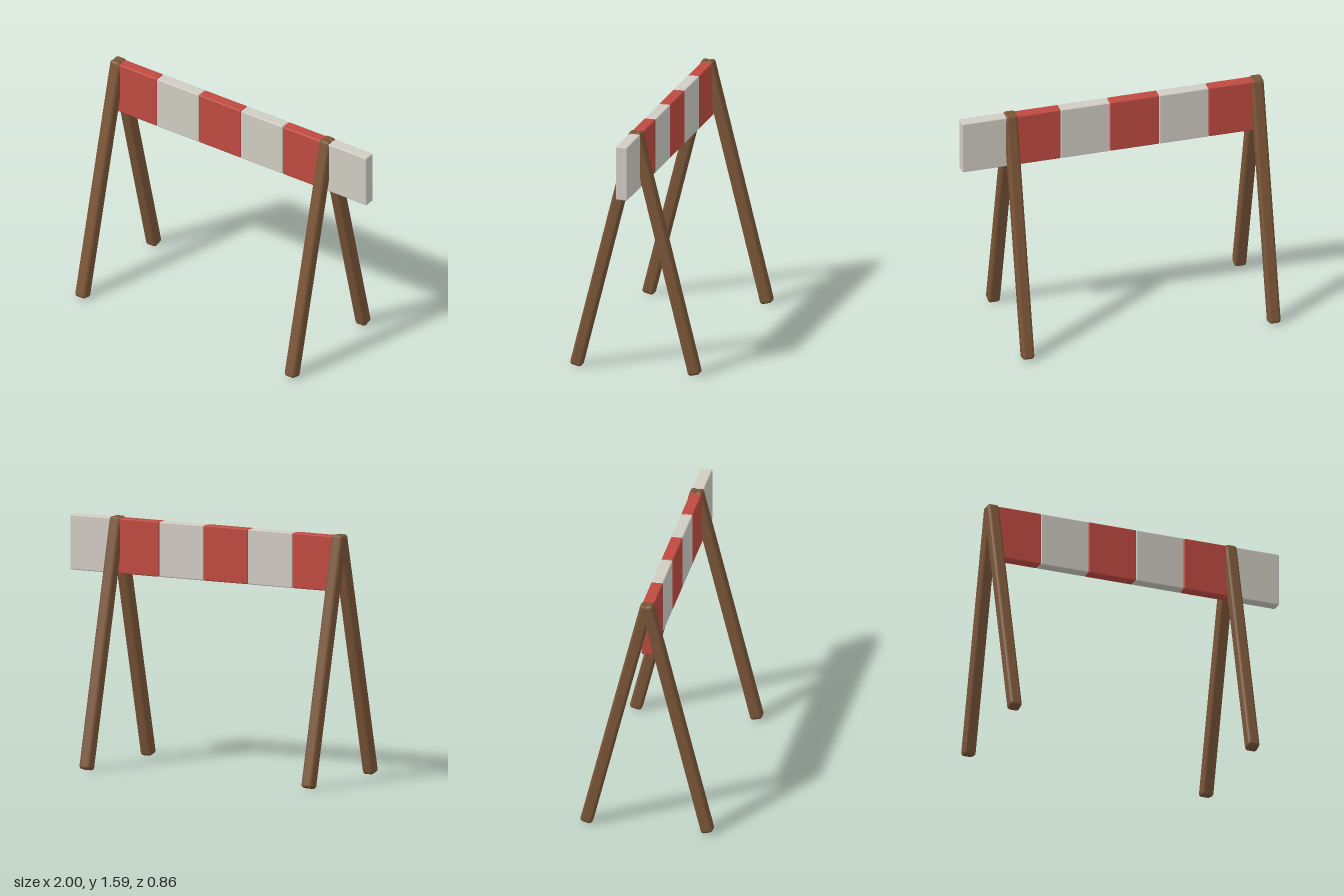
import * as THREE from 'three';
import { RoundedBoxGeometry } from 'three/addons/geometries/RoundedBoxGeometry.js';

const material = (name, color) => {
  const m = new THREE.MeshStandardMaterial({ color });
  m.name = name;
  return m;
};

export function createModel() {
  const wood = material('brown wood', 0x7a5537);
  const red = material('red paint', 0xbf4a40);
  const white = material('white paint', 0xd0ccc3);

  const model = new THREE.Group();
  model.name = 'barrier';

  const add = (name, geometry, mat, parent = model) => {
    const mesh = new THREE.Mesh(geometry, mat);
    mesh.name = name;
    parent.add(mesh);
    return mesh;
  };

  // Striped board: six equal blocks, red first, ending white
  const board = new THREE.Group();
  board.name = 'board';
  model.add(board);
  const start = -0.96, end = 1, count = 6;
  const width = (end - start) / count;
  const stripe = new RoundedBoxGeometry(width, 0.355, 0.076, 1, 0.008);
  for (let i = 0; i < count; i++) {
    const mesh = add(i % 2 ? 'whiteStripe' : 'redStripe', stripe, i % 2 ? white : red, board);
    mesh.position.set(start + (i + 0.5) * width, 1.403, 0);
  }

  // Two A-frames, each a mirrored pair of splayed legs crossing at the top
  const foot = 0.394, bottom = 0.008, top = 1.585;
  const lean = Math.atan2(foot, top - bottom);
  const leg = new RoundedBoxGeometry(0.08, Math.hypot(foot, top - bottom), 0.08, 2, 0.02);
  for (const [frameName, x] of [['rightFrame', -0.96], ['leftFrame', 0.672]]) {
    const frame = new THREE.Group();
    frame.name = frameName;
    frame.position.x = x;
    model.add(frame);
    for (const side of [1, -1]) {
      const mesh = add(side > 0 ? 'frontLeg' : 'backLeg', leg, wood, frame);
      mesh.position.set(0, (top + bottom) / 2, side * foot / 2);
      mesh.rotation.x = -side * lean;
    }
  }
  return model;
}
